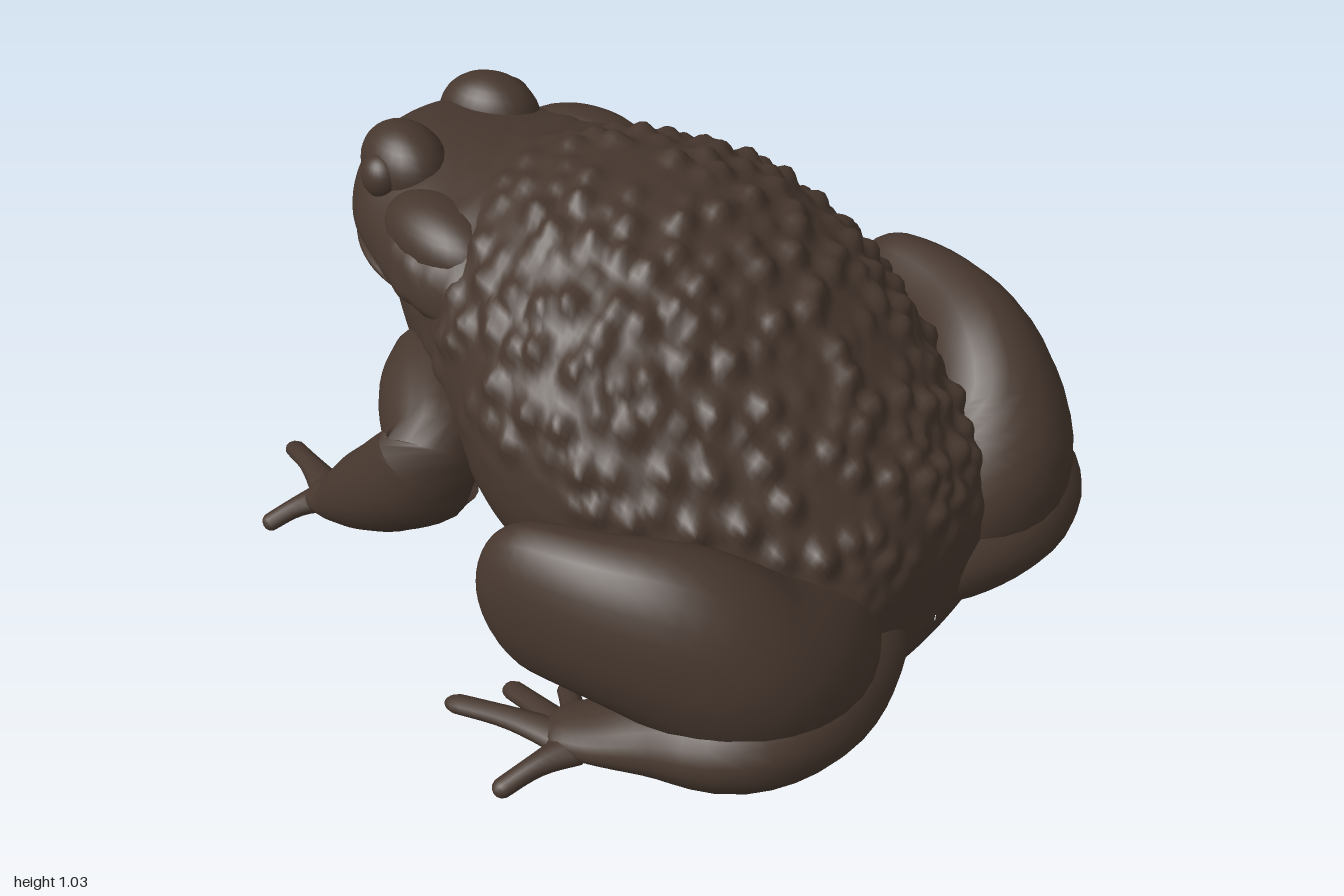
import * as THREE from 'three';

const skin = new THREE.MeshStandardMaterial({ color: 0x46372e });
skin.name = 'brown skin';

// Closed skin over a grid of points, wrapped around in the second direction
function gridSkin(rows, cols, pointAt) {
  const pos = [], index = [];
  for (let i = 0; i <= rows; i++) {
    for (let j = 0; j < cols; j++) pos.push(...pointAt(i / rows, (j / cols) * Math.PI * 2));
  }
  for (let i = 0; i < rows; i++) {
    for (let j = 0; j < cols; j++) {
      const a = i * cols + j, c = i * cols + (j + 1) % cols;
      index.push(a, a + cols, c, a + cols, c + cols, c);
    }
  }
  const g = new THREE.BufferGeometry();
  g.setAttribute('position', new THREE.Float32BufferAttribute(pos, 3));
  g.setIndex(index);
  g.computeVertexNormals();
  return g;
}

// Loft along z. Stations: [z, top, height of widest point, bottom, half width]
function loft(stations, rows, cols) {
  const a = new THREE.CatmullRomCurve3(stations.map(s => new THREE.Vector3(s[0], s[1], s[2])), false, 'catmullrom', 0.5);
  const b = new THREE.CatmullRomCurve3(stations.map(s => new THREE.Vector3(s[3], s[4], 0)), false, 'catmullrom', 0.5);
  return gridSkin(rows, cols, (t, v) => {
    const p = a.getPoint(t), q = b.getPoint(t);
    const s = Math.sin(v), w = Math.max(q.y, 0.002);
    return [-Math.cos(v) * w, p.z + s * (s > 0 ? p.y - p.z : p.z - q.x), p.x];
  });
}

// Round-ended limb. Points: [x, y, z, side radius, upright radius]
function limb(points, mirror, rows = 32, cols = 20, round = 0.12) {
  const path = new THREE.CatmullRomCurve3(points.map(p => new THREE.Vector3(p[0] * mirror, p[1], p[2])), false, 'catmullrom', 0.5);
  const radii = new THREE.CatmullRomCurve3(points.map(p => new THREE.Vector3(p[3], p[4], 0)), false, 'catmullrom', 0.5);
  const up = new THREE.Vector3(0, 1, 0);
  return gridSkin(rows, cols, (k, v) => {
    const t = 0.5 - 0.5 * Math.cos(Math.PI * k);
    const c = path.getPoint(t), r = radii.getPoint(t), dir = path.getTangent(t);
    const side = dir.clone().cross(up).normalize();
    const lift = side.clone().cross(dir);
    const e = Math.min(1, Math.min(t, 1 - t) / round);
    const cap = Math.max(0.01, Math.sqrt(1 - (1 - e) ** 2));
    c.addScaledVector(side, Math.cos(v) * r.x * cap).addScaledVector(lift, Math.sin(v) * r.y * cap);
    return [c.x, Math.max(c.y, 0.004), c.z];
  });
}

const hash = (i, j, k, n) => {
  const s = Math.sin(i * 127.1 + j * 311.7 + k * 74.7 + n * 19.3) * 43758.5453;
  return s - Math.floor(s);
};

// Height of the nearest wart, on a jittered lattice in space
function wart(x, y, z) {
  let h = 0;
  const i0 = Math.floor(x), j0 = Math.floor(y), k0 = Math.floor(z);
  for (let i = i0 - 1; i <= i0 + 1; i++) {
    for (let j = j0 - 1; j <= j0 + 1; j++) {
      for (let k = k0 - 1; k <= k0 + 1; k++) {
        const dx = x - i - 0.2 - 0.6 * hash(i, j, k, 1);
        const dy = y - j - 0.2 - 0.6 * hash(i, j, k, 2);
        const dz = z - k - 0.2 - 0.6 * hash(i, j, k, 3);
        const f = Math.max(0, 1 - (dx * dx + dy * dy + dz * dz) / 0.4);
        h = Math.max(h, f * f);
      }
    }
  }
  return h;
}

// Raise warts over the back and flanks
function addWarts(g, size, zStart) {
  const p = g.attributes.position, n = g.attributes.normal;
  for (let i = 0; i < p.count; i++) {
    const x = p.getX(i), y = p.getY(i), z = p.getZ(i);
    const low = 0.5 - 0.3 * Math.max(0, z);
    const mask = THREE.MathUtils.smoothstep(y, low, low + 0.2) * THREE.MathUtils.smoothstep(z, zStart, zStart + 0.3);
    const h = size * mask * wart(x / 0.085, y / 0.085, z / 0.085);
    p.setXYZ(i, x + n.getX(i) * h, y + n.getY(i) * h, z + n.getZ(i) * h);
  }
  g.computeVertexNormals();
  return g;
}

export function createModel() {
  const model = new THREE.Group();
  model.name = 'toad';
  const add = (name, geometry) => {
    const m = new THREE.Mesh(geometry, skin);
    m.name = name;
    model.add(m);
    return m;
  };
  const ball = (name, p, r, turn = 0) => {
    const m = add(name, new THREE.SphereGeometry(1, 24, 16));
    m.position.set(...p);
    m.scale.set(...r);
    m.rotation.y = turn;
  };

  // Warty trunk and throat
  add('body', addWarts(loft([
    [-0.74, 0.75, 0.68, 0.63, 0.06], [-0.68, 0.85, 0.72, 0.57, 0.2], [-0.6, 0.9, 0.68, 0.43, 0.29],
    [-0.5, 0.94, 0.62, 0.27, 0.35], [-0.38, 0.98, 0.6, 0.18, 0.415], [-0.2, 1.02, 0.55, 0.1, 0.515],
    [0, 1.01, 0.5, 0.055, 0.6], [0.2, 0.945, 0.46, 0.04, 0.605], [0.4, 0.815, 0.4, 0.04, 0.555],
    [0.6, 0.65, 0.3, 0.04, 0.46], [0.75, 0.48, 0.22, 0.045, 0.38], [0.815, 0.34, 0.17, 0.06, 0.3],
    [0.84, 0.16, 0.15, 0.14, 0.002]], 150, 170), 0.033, -0.5));

  // Broad head with a blunt snout
  add('head', addWarts(loft([
    [-0.885, 0.78, 0.77, 0.76, 0.002], [-0.872, 0.84, 0.76, 0.7, 0.11], [-0.82, 0.9, 0.75, 0.67, 0.2],
    [-0.74, 0.945, 0.75, 0.65, 0.275], [-0.64, 0.95, 0.75, 0.64, 0.33], [-0.5, 0.95, 0.75, 0.62, 0.395],
    [-0.35, 0.965, 0.73, 0.59, 0.415], [-0.15, 0.94, 0.7, 0.58, 0.4], [0, 0.8, 0.7, 0.65, 0.15]], 60, 70), 0.014, -0.65));

  // Upper lip running round the jaw
  const lip = [];
  for (let i = 0; i <= 8; i++) {
    const a = (i / 8 - 0.5) * Math.PI;
    lip.push([0.335 * Math.sin(a), 0.71 - 0.04 * (1 - Math.cos(a)), -0.46 - 0.4 * Math.cos(a) ** 0.85, 0.013, 0.013]);
  }
  add('lip', limb(lip, 1, 48, 8, 0.04));

  for (const s of [1, -1]) {
    const label = s > 0 ? 'left' : 'right';
    const digits = (name, root, tips) => tips.forEach((tip, i) => {
      const mid = root.map((c, k) => (c + tip[k]) / 2);
      add(`${label} ${name} ${i + 1}`, limb([
        [...root, 0.055, 0.035], [mid[0], mid[1] + 0.012, mid[2], 0.03, 0.024],
        [...tip, 0.026, 0.02]], s, 16, 10, 0.1));
    });

    // Eyes, brows, glands and nostrils
    ball(`${label} brow`, [0.155 * s, 0.89, -0.67], [0.1, 0.11, 0.135], 0.25 * s);
    ball(`${label} eye`, [0.232 * s, 0.895, -0.675], [0.05, 0.058, 0.058], 0.25 * s);
    ball(`${label} gland`, [0.265 * s, 0.825, -0.45], [0.11, 0.1, 0.19], 0.2 * s);
    ball(`${label} nostril`, [0.07 * s, 0.85, -0.84], [0.025, 0.022, 0.025]);

    // Front leg and hand
    add(`${label} front leg`, limb([
      [0.25, 0.5, -0.46, 0.12, 0.11], [0.4, 0.475, -0.37, 0.14, 0.14], [0.54, 0.42, -0.255, 0.12, 0.14],
      [0.555, 0.305, -0.36, 0.115, 0.125], [0.54, 0.19, -0.5, 0.105, 0.1], [0.515, 0.1, -0.61, 0.09, 0.06],
      [0.5, 0.06, -0.72, 0.07, 0.032]], s, 44, 22, 0.07));
    digits('finger', [0.505, 0.065, -0.665],
      [[0.405, 0.03, -0.925], [0.675, 0.025, -0.75], [0.28, 0.025, -0.74], [0.31, 0.02, -0.63]]);

    // Folded thigh, sweeping back and in to the rump
    add(`${label} thigh`, limb([
      [0.735, 0.36, 0.085, 0.09, 0.14], [0.73, 0.38, 0.2, 0.105, 0.2], [0.685, 0.39, 0.39, 0.14, 0.222],
      [0.605, 0.36, 0.55, 0.175, 0.24], [0.5, 0.275, 0.67, 0.2, 0.22], [0.37, 0.22, 0.7, 0.19, 0.2],
      [0.2, 0.2, 0.62, 0.16, 0.16], [0.04, 0.19, 0.5, 0.12, 0.13]], s, 48, 28, 0.18));

    // Shin lying along the ground beneath the thigh
    add(`${label} shin`, limb([
      [0.08, 0.16, 0.64, 0.14, 0.1], [0.24, 0.155, 0.725, 0.16, 0.115], [0.43, 0.155, 0.75, 0.175, 0.125],
      [0.58, 0.15, 0.68, 0.175, 0.125], [0.67, 0.12, 0.53, 0.13, 0.09], [0.74, 0.085, 0.4, 0.095, 0.052],
      [0.775, 0.06, 0.28, 0.065, 0.03]], s, 40, 22, 0.1));
    digits('toe', [0.78, 0.07, 0.4],
      [[0.99, 0.03, 0.32], [0.84, 0.025, 0.035], [0.71, 0.02, 0.11], [0.62, 0.02, 0.22]]);
  }
  return model;
}
